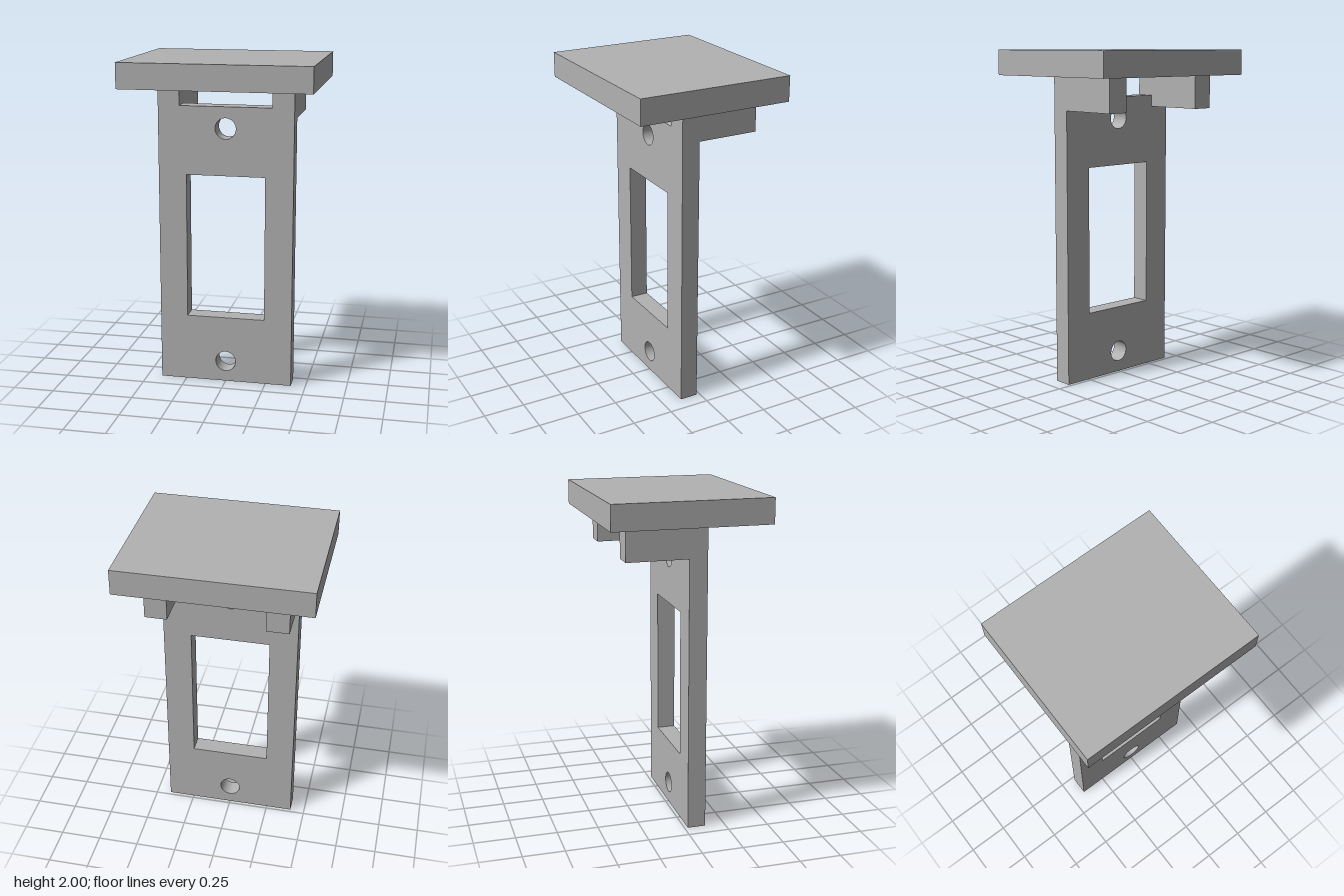
import * as THREE from 'three';

export function createModel() {
  const model = new THREE.Group();
  model.name = 'switchPlateBracket';
  const grey = new THREE.MeshStandardMaterial({ color: 0xb2b2b2 });
  grey.name = 'plain grey';

  const add = (name, geometry, x, y, z) => {
    const mesh = new THREE.Mesh(geometry, grey);
    mesh.name = name;
    mesh.position.set(x, y, z);
    model.add(mesh);
  };
  const polygon = (Type, points) => new Type(points.map(([x, y]) => new THREE.Vector2(x, y)));

  // Upright plate with a notch in its top edge
  const plate = polygon(THREE.Shape, [
    [-0.41, 0], [0.41, 0], [0.41, 1.85], [0.28, 1.85],
    [0.28, 1.72], [-0.28, 1.72], [-0.28, 1.85], [-0.41, 1.85],
  ]);
  // Rectangular window
  plate.holes.push(polygon(THREE.Path, [
    [-0.24, 0.415], [-0.24, 1.305], [0.24, 1.305], [0.24, 0.415],
  ]));
  // Screw holes
  for (const y of [0.13, 1.59]) {
    plate.holes.push(new THREE.Path().absarc(0, y, 0.063, 0, Math.PI * 2, true));
  }
  add('uprightPlate', new THREE.ExtrudeGeometry(plate, {
    depth: 0.11, bevelEnabled: false, curveSegments: 24,
  }), 0, 0, 0.02);

  // Support arms reaching back under the shelf
  for (const [name, side] of [['leftArm', 1], ['rightArm', -1]]) {
    add(name, new THREE.BoxGeometry(0.13, 0.2, 0.37), side * 0.345, 1.75, -0.165);
  }

  // Top shelf
  add('topShelf', new THREE.BoxGeometry(1.12, 0.15, 0.936), 0, 1.925, 0);
  return model;
}
